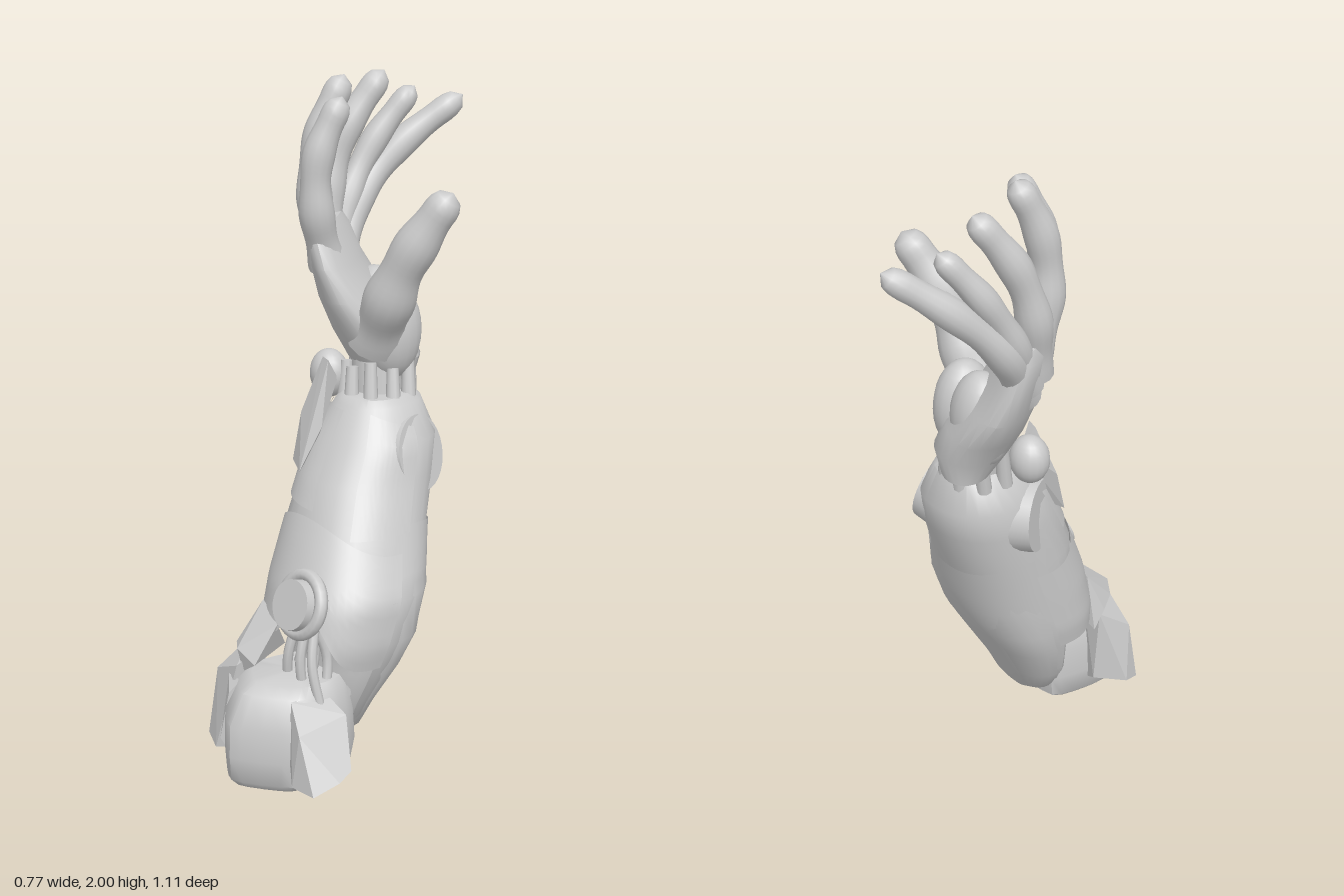
import * as THREE from 'three';
import { toCreasedNormals } from 'three/addons/utils/BufferGeometryUtils.js';
import { ConvexGeometry } from 'three/addons/geometries/ConvexGeometry.js';

const V = (x, y, z) => new THREE.Vector3(x, y, z);
const grey = new THREE.MeshStandardMaterial({ color: 0xcccccc });
const greyThin = new THREE.MeshStandardMaterial({ color: 0xcccccc, side: THREE.DoubleSide });

// Skin a list of rings (counter-clockwise about the direction of travel).
function loft(rings, closed = true, crease = 0.7) {
  const n = rings[0].length, pos = [], idx = [];
  rings.forEach(r => r.forEach(p => pos.push(p.x, p.y, p.z)));
  for (let i = 0; i < rings.length - 1; i++) {
    for (let j = 0; j < (closed ? n : n - 1); j++) {
      const a = i * n + j, b = i * n + (j + 1) % n;
      idx.push(a, b, a + n, b, b + n, a + n);
    }
  }
  const g = new THREE.BufferGeometry();
  g.setAttribute('position', new THREE.Float32BufferAttribute(pos, 3));
  g.setIndex(idx);
  return toCreasedNormals(g, crease);
}

// Rounded tapering limb along a curve; rad(u) gives its radius.
function limb(points, rad, steps = 28, sides = 14) {
  const curve = new THREE.CatmullRomCurve3(points);
  const f = curve.computeFrenetFrames(steps);
  const rings = [];
  for (let i = 0; i <= steps; i++) {
    const u = i / steps, c = curve.getPointAt(u);
    const end = Math.sqrt(Math.max(0, 1 - Math.pow(Math.max(0, (u - 0.88) / 0.12), 2)));
    const r = rad(u) * end;
    rings.push(Array.from({ length: sides }, (_, j) => {
      const t = j / sides * Math.PI * 2;
      return c.clone().addScaledVector(f.normals[i], r * Math.cos(t)).addScaledVector(f.binormals[i], r * Math.sin(t));
    }));
  }
  return loft(rings, true, 1);
}

// Forearm outline rows: y, x min, x max, z min, z max.
const outline = [
  [0.07, 0.0, 0.1, 0.13, 0.2], [0.12, -0.09, 0.16, 0.09, 0.26], [0.2, -0.14, 0.2, 0.05, 0.31],
  [0.32, -0.18, 0.26, -0.02, 0.35], [0.42, -0.2, 0.285, -0.08, 0.355], [0.55, -0.205, 0.285, -0.135, 0.32],
  [0.7, -0.21, 0.215, -0.18, 0.245], [0.85, -0.215, 0.155, -0.24, 0.165], [0.95, -0.215, 0.125, -0.26, 0.1],
  [1.05, -0.17, 0.06, -0.23, 0.03],
];
function rowAt(y) {
  const i = Math.max(0, Math.min(outline.length - 2, outline.findIndex(r => r[0] >= y) - 1));
  const a = outline[i], b = outline[i + 1], k = (y - a[0]) / (b[0] - a[0]);
  return a.map((v, j) => v + (b[j] - v) * k);
}
// Point on an oval whose front leans to +x and back to -x; t = 0 faces front, t = PI/2 faces +x.
function ovalPoint([y, x0, x1, z0, z1], t, k = 1) {
  const q = v => Math.sign(v) * Math.pow(Math.abs(v), 0.92) * k;
  const c = Math.cos(t);
  const lean = (c > 0 ? 0.05 : 0.03) * k * c * Math.abs(c) * Math.max(0, 1 - Math.abs(y - 0.45) / 0.5);
  return V((x0 + x1) / 2 + q(Math.sin(t)) * (x1 - x0) / 2 + lean, y, (z0 + z1) / 2 + q(c) * (z1 - z0) / 2);
}
const oval = (row, k, n = 28) => Array.from({ length: n }, (_, j) => ovalPoint(row, j / n * Math.PI * 2, k));

// Armour plate hugging the forearm between two angles and two height rules.
function plate(t0, t1, lo, hi, k, rows = 10, cols = 24) {
  const rings = [];
  for (let i = 0; i <= rows; i++) {
    rings.push(Array.from({ length: cols + 1 }, (_, j) => {
      const t = t0 + (t1 - t0) * j / cols;
      return ovalPoint(rowAt(lo(t) + (hi(t) - lo(t)) * i / rows), t, k);
    }));
  }
  return loft(rings, false);
}

export function createModel() {
  const model = new THREE.Group();
  const add = (name, geo, mat = grey) => {
    const m = new THREE.Mesh(geo, mat);
    m.name = name;
    model.add(m);
    return m;
  };
  const rod = (name, a, b, r, r2 = r, sides = 10) => {
    const m = add(name, new THREE.CylinderGeometry(r2, r, a.distanceTo(b), sides));
    m.position.copy(a).lerp(b, 0.5);
    m.quaternion.setFromUnitVectors(V(0, 1, 0), b.clone().sub(a).normalize());
  };
  const disc = (name, c, dir, r, h) => rod(name, c.clone().addScaledVector(dir.normalize(), -h), c, r * 1.06, r, 28);
  const pad = (name, p, sx, sy, sz) => {
    const m = add(name, new THREE.SphereGeometry(1, 18, 14));
    m.position.copy(p);
    m.scale.set(sx, sy, sz);
  };

  // Forearm core, recessed at the lower front
  const recess = outline.map(r => {
    const s = r.slice();
    s[4] -= 0.13 * THREE.MathUtils.clamp((0.62 - r[0]) / 0.2, 0, 1) * Math.min(1, r[0] * 2.6);
    return s;
  });
  const cuff = [1.07, -0.17, 0.06, -0.22, 0.03];
  add('forearm', loft([oval(recess[0], 0.01), ...recess.map(r => oval(r, 1)), oval(cuff, 0.8), oval(cuff, 0.01)]));

  // Overlapping armour: elbow hood with a window, rear shell, front and side wrist plates
  add('elbowHood', plate(-1.75, 1.6,
    t => 0.35 + 0.17 * Math.exp(-(((t - 0.25) / 0.55) ** 2)),
    t => 0.76 - 0.09 * Math.sin(t) ** 2, 1.03, 12, 30), greyThin);
  add('rearShell', plate(1.5, 4.6, () => 0.1, t => 0.74 - 0.05 * Math.cos(t) ** 2, 1.02), greyThin);
  add('frontPlate', plate(-0.95, 0.1, () => 0.78, () => 1.04, 1.04), greyThin);
  add('sidePlate', plate(0.8, 1.7, () => 0.72, t => 1.04 - 0.05 * (t - 0.8), 1.03), greyThin);
  add('wristGuard', new ConvexGeometry([
    V(-0.19, 0.86, 0.12), V(-0.09, 0.86, 0.17), V(-0.07, 0.99, 0.1), V(-0.13, 1.17, 0.03),
    V(-0.17, 1.17, 0.02), V(-0.2, 1.0, 0.08), V(-0.15, 0.88, 0.08), V(-0.15, 1.1, -0.02)]));

  // Round covers, nearly flush
  disc('innerCover', V(0.108, 0.91, -0.135), V(1, 0.28, -0.35), 0.115, 0.08);
  disc('outerCover', V(-0.2, 0.88, 0.02), V(-1, 0.05, 0.6), 0.11, 0.07);
  disc('elbowCap', V(0.11, 0.55, 0.355), V(0.05, 0.35, 1), 0.075, 0.1);
  const collar = add('elbowCapCollar', new THREE.TorusGeometry(0.088, 0.02, 8, 28));
  collar.position.set(0.11, 0.54, 0.312);
  collar.rotation.x = -0.34;

  // Cables and struts inside the elbow
  for (let i = 0; i < 6; i++) {
    const x = 0.02 + i * 0.04;
    const a = V(x, 0.26, 0.28 + 0.05 * (i % 2)), b = V(0.07 + i * 0.018, 0.5, 0.3);
    const mid = a.clone().lerp(b, 0.5).add(V(0, 0, i % 2 ? 0.02 : -0.03));
    add('elbowCable', new THREE.TubeGeometry(new THREE.CatmullRomCurve3([a, mid, b]), 10, 0.015, 8));
  }
  rod('elbowStrut', V(0.18, 0.25, 0.2), V(0.2, 0.45, 0.17), 0.022);
  add('elbowCheek', new ConvexGeometry([
    V(-0.14, 0.3, 0.3), V(-0.04, 0.3, 0.42), V(0.02, 0.34, 0.42), V(-0.04, 0.38, 0.44), V(-0.1, 0.37, 0.4),
    V(0.04, 0.46, 0.35), V(-0.1, 0.48, 0.3), V(-0.15, 0.37, 0.33), V(-0.02, 0.36, 0.28)]));

  // Elbow block with rounded corners, and its side flaps
  const foot = new THREE.CatmullRomCurve3(
    [[-0.08, 0.46], [0.07, 0.55], [0.23, 0.43], [0.245, 0.29], [0.19, 0.18], [-0.05, 0.2], [-0.09, 0.36]].map(([x, z]) => V(x, 0, z)),
    true, 'catmullrom', 0.25).getPoints(28).slice(0, 28);
  const level = ([y, k, dz]) => foot.map(p => V(0.07 + (p.x - 0.07) * k, y, 0.35 + (p.z - 0.35) * k + dz));
  add('elbowBlock', loft([[0, 0.01, 0], [0, 0.8, 0.01], [0.025, 0.95, 0.005], [0.1, 1, 0], [0.2, 0.98, 0],
    [0.29, 0.84, -0.02], [0.315, 0.7, -0.04], [0.32, 0.01, -0.04]].map(level)));
  add('leftFlap', new ConvexGeometry([
    V(0.2, 0.29, 0.3), V(0.2, 0.29, 0.42), V(0.28, 0.24, 0.28), V(0.28, 0.22, 0.45), V(0.37, 0.11, 0.33),
    V(0.38, 0.09, 0.38), V(0.36, 0.06, 0.46), V(0.27, 0.06, 0.47), V(0.29, 0.08, 0.28), V(0.22, 0.1, 0.44)]));
  add('rightFlap', new ConvexGeometry([
    V(-0.14, 0.35, 0.32), V(-0.05, 0.36, 0.33), V(-0.16, 0.27, 0.43), V(-0.03, 0.33, 0.45), V(-0.19, 0.08, 0.4),
    V(-0.17, 0.06, 0.46), V(-0.09, 0.05, 0.49), V(-0.13, 0.1, 0.31), V(-0.05, 0.05, 0.34), V(-0.03, 0.07, 0.47)]));
  add('rightFlapRib', new ConvexGeometry([
    V(-0.11, 0.04, 0.44), V(-0.02, 0.03, 0.47), V(-0.01, 0.29, 0.45), V(-0.07, 0.29, 0.45),
    V(-0.05, 0.1, 0.5), V(-0.03, 0.25, 0.48)]));

  // Wrist: core, ring of struts and side joint
  rod('wristCore', V(-0.075, 1.0, -0.11), V(-0.095, 1.2, -0.13), 0.075, 0.08, 16);
  for (let i = 0; i < 9; i++) {
    const t = i / 9 * Math.PI * 2, c = Math.cos(t), s = Math.sin(t);
    rod('wristStrut', V(-0.07 + 0.1 * s, 1.02, -0.11 + 0.1 * c), V(-0.09 + 0.09 * s, 1.15 + 0.02 * (i % 2), -0.13 + 0.1 * c), 0.024, 0.018);
  }
  pad('wristJoint', V(-0.205, 1.1, -0.03), 0.062, 0.075, 0.058);

  // Palm: flattened sections set along the knuckle line; y, x, z, half width, half depth
  const palmRing = ([y, x, z, w, d], k = 1) => Array.from({ length: 24 }, (_, j) => {
    const t = j / 24 * Math.PI * 2, a = Math.cos(t) * w * k, b = Math.sin(t) * d * k;
    return V(x + 0.67 * a + 0.74 * b, y + 0.05 * a, z + 0.74 * a - 0.67 * b);
  });
  const palm = [
    [1.09, -0.11, -0.185, 0.1, 0.075], [1.16, -0.11, -0.165, 0.125, 0.11], [1.25, -0.145, -0.14, 0.165, 0.115],
    [1.35, -0.19, -0.105, 0.195, 0.095], [1.45, -0.225, -0.075, 0.193, 0.07], [1.54, -0.25, -0.06, 0.175, 0.058],
    [1.575, -0.255, -0.06, 0.16, 0.035]];
  add('palm', loft([palmRing(palm[0], 0.01), ...palm.map(p => palmRing(p)), palmRing(palm[6], 0.01)]));
  pad('thumbPad', V(-0.05, 1.25, -0.145), 0.085, 0.15, 0.095);
  pad('heelPad', V(-0.165, 1.27, -0.175), 0.1, 0.15, 0.085);

  // Digits with slightly swollen joints: base radius, tip radius, path
  const digits = {
    thumb: [0.085, 0.05, V(-0.07, 1.23, -0.1), V(0.02, 1.36, -0.075), V(0.085, 1.49, -0.085), V(0.14, 1.6, -0.12), V(0.2, 1.715, -0.17)],
    indexFinger: [0.054, 0.041, V(-0.17, 1.45, 0.0), V(-0.15, 1.63, 0.055), V(-0.145, 1.79, 0.05), V(-0.115, 1.96, -0.015)],
    middleFinger: [0.055, 0.042, V(-0.235, 1.46, -0.05), V(-0.24, 1.64, -0.005), V(-0.235, 1.82, -0.02), V(-0.21, 2.0, -0.095)],
    ringFinger: [0.053, 0.042, V(-0.29, 1.45, -0.09), V(-0.325, 1.63, -0.12), V(-0.315, 1.8, -0.175), V(-0.27, 1.98, -0.29)],
    innerFinger: [0.044, 0.037, V(-0.3, 1.42, -0.12), V(-0.335, 1.59, -0.2), V(-0.33, 1.75, -0.295), V(-0.28, 1.915, -0.415)],
    littleFinger: [0.05, 0.04, V(-0.28, 1.38, -0.12), V(-0.335, 1.57, -0.235), V(-0.31, 1.73, -0.38), V(-0.22, 1.88, -0.555)],
  };
  for (const [name, [r0, r1, ...pts]] of Object.entries(digits)) {
    add(name, limb(pts, u => (r0 + (r1 - r0) * u) * (1 + 0.07 * Math.cos(u * Math.PI * 6))));
  }
  return model;
}
